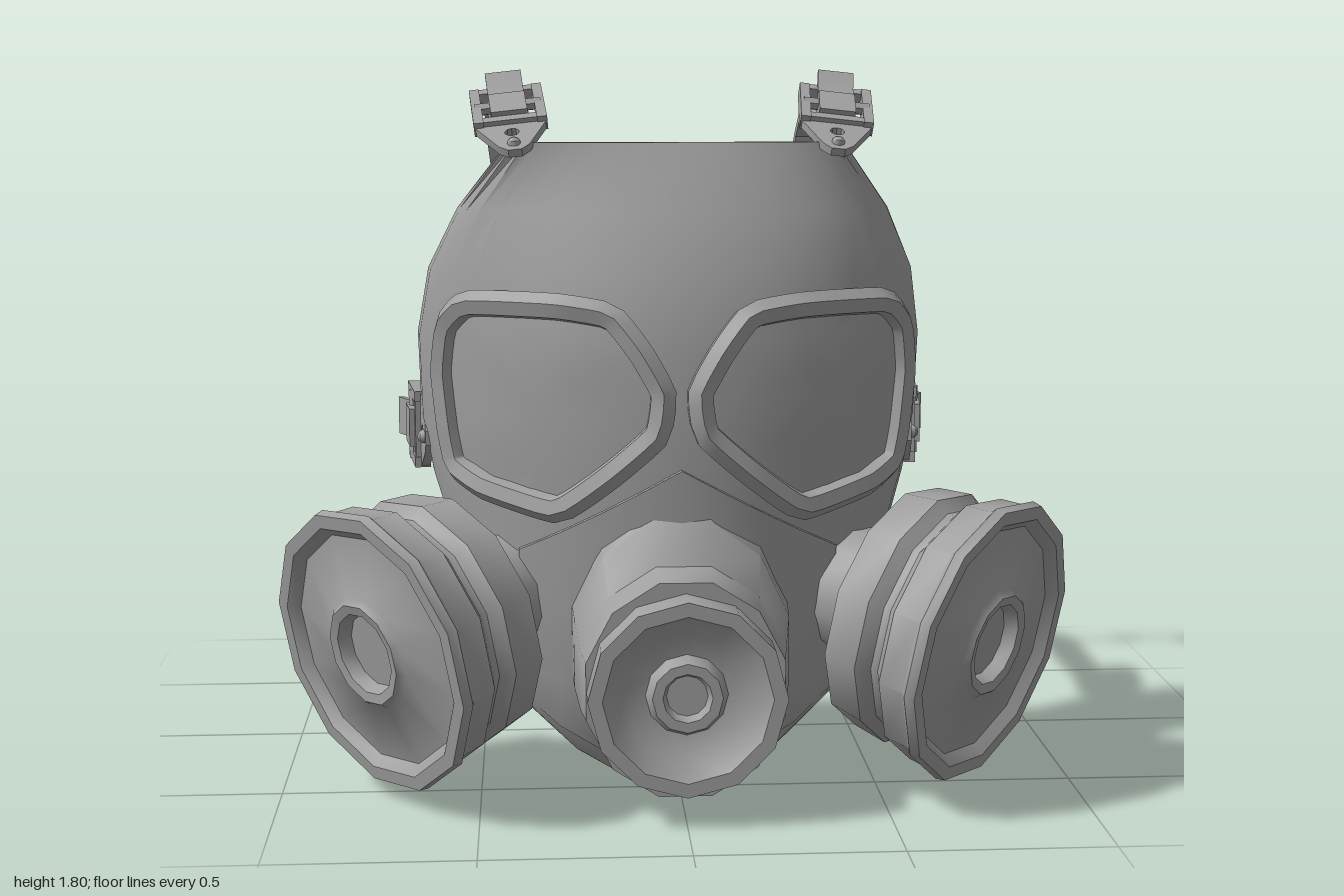
import * as THREE from 'three';
import { toCreasedNormals } from 'three/addons/utils/BufferGeometryUtils.js';

const V = (x, y, z) => new THREE.Vector3(x, y, z);
const rubber = new THREE.MeshStandardMaterial({ color: 0xa0a0a0 });
rubber.name = 'grey rubber';

// Skin through equal, even-sized rings of points, with both ends capped.
function loft(rings) {
  const n = rings[0].length, idx = [], last = (rings.length - 1) * n;
  for (let i = 0; i < rings.length - 1; i++) for (let j = 0; j < n; j++) {
    const a = i * n + j, b = i * n + (j + 1) % n;
    idx.push(a, a + n, b, b, a + n, b + n);
  }
  for (let j = 0; j < n / 2 - 1; j++) {
    const a = j, b = j + 1, c = n - 2 - j, d = n - 1 - j;
    idx.push(a, b, c, a, c, d, last + a, last + c, last + b, last + a, last + d, last + c);
  }
  const g = new THREE.BufferGeometry().setFromPoints(rings.flat());
  g.setIndex(idx);
  return g;
}

// Flat band along a path; w is half the width as a vector.
function band(path, w, t = 0.011) {
  return loft(path.map((p, i) => {
    const d = path[Math.min(i + 1, path.length - 1)].clone().sub(path[Math.max(i - 1, 0)]);
    const n = d.cross(w).normalize().multiplyScalar(t);
    return [[1, 1], [1, -1], [-1, -1], [-1, 1]].map(([a, b]) =>
      p.clone().addScaledVector(w, a).addScaledVector(n, b));
  }));
}

// Lathe whose profile [radius, distance] runs along any axis from a point.
function turned(profile, origin, axis, sides) {
  const g = new THREE.LatheGeometry(profile.map(p => new THREE.Vector2(...p)), sides);
  g.applyQuaternion(new THREE.Quaternion().setFromUnitVectors(V(0, 1, 0), axis.clone().normalize()));
  return g.translate(origin.x, origin.y, origin.z);
}

// Face piece rows: height, half width, z of the side edge, z of the centre line.
const rows = [
  [1.63, 0.42, 0.36, 0.38], [1.46, 0.55, 0.24, 0.46], [1.3, 0.63, 0.13, 0.53],
  [1.12, 0.665, 0.03, 0.565], [0.9, 0.66, 0.0, 0.575], [0.75, 0.63, 0.02, 0.575],
  [0.6, 0.58, 0.08, 0.57], [0.43, 0.52, 0.15, 0.56], [0.2, 0.41, 0.28, 0.52],
  [0.07, 0.26, 0.35, 0.45], [0.01, 0.15, 0.38, 0.4],
];
function faceZ(x, y) {
  let i = 0;
  while (i < rows.length - 2 && rows[i + 1][0] > y) i++;
  const [p, q] = [rows[i], rows[i + 1]];
  const k = THREE.MathUtils.clamp((p[0] - y) / (p[0] - q[0]), 0, 1);
  const [, w, e, c] = p.map((v, j) => v + (q[j] - v) * k);
  return e + (c - e) * Math.sqrt(Math.max(0, 1 - (x / w) ** 2));
}

export function createModel() {
  const model = new THREE.Group();
  model.name = 'respiratorMask';

  // Adds a part and, if asked, its mirror image with the corners turned round.
  function part(name, geo, mirror = false, crease = 0.7, parent = model) {
    const g = toCreasedNormals(geo, crease);
    const add = (geom, label) => {
      const m = new THREE.Mesh(geom, rubber);
      m.name = label;
      parent.add(m);
    };
    if (!mirror) return add(g, name);
    add(g, name + 'Left');
    const f = g.clone().scale(-1, 1, 1);
    for (const key of ['position', 'normal']) {
      const at = f.attributes[key], a = V(0, 0, 0), b = V(0, 0, 0);
      for (let i = 0; i < at.count; i += 3) {
        a.fromBufferAttribute(at, i + 1);
        b.fromBufferAttribute(at, i + 2);
        at.setXYZ(i + 1, b.x, b.y, b.z);
        at.setXYZ(i + 2, a.x, a.y, a.z);
      }
    }
    add(f, name + 'Right');
  }

  // Face piece, a thick curved shell
  const N = 20;
  part('facePiece', loft(rows.map(([y, w, e, c]) => {
    const ring = [];
    for (let side = 0; side < 2; side++) for (let j = 0; j <= N; j++) {
      const a = (side ? 1 - 2 * j / N : 2 * j / N - 1) * Math.PI / 2;
      const s = side ? 0.965 : 1;
      ring.push(V(w * s * Math.sin(a), y, e + (c - e) * Math.cos(a) - side * 0.022 * Math.cos(a)));
    }
    return ring;
  })));

  // Raised lower face plate, peaked at the nose
  const plate = [];
  for (let i = 0; i <= 8; i++) {
    const x = -0.4 + i * 0.1, top = 0.84 - 0.55 * Math.abs(x), bottom = 0.05 + 1.1 * x * x;
    const ring = [];
    for (let j = 0; j <= 8; j++) {
      const y = bottom + (top - bottom) * j / 8;
      ring.push(V(x, y, faceZ(x, y) + 0.018));
    }
    for (let j = 8; j >= 0; j--) ring.push(ring[j].clone().add(V(0, 0, -0.03)));
    plate.push(ring);
  }
  part('lowerFacePlate', loft(plate));

  // Eye frames outside and inside, and lenses, following the curve of the face
  const eye = [[0.045, 1.03], [0.1, 1.13], [0.17, 1.215], [0.3, 1.235], [0.52, 1.23], [0.575, 1.17],
    [0.59, 1.05], [0.575, 0.9], [0.555, 0.81], [0.48, 0.77], [0.3, 0.735], [0.17, 0.83], [0.06, 0.93]];
  for (const [name, s, dz] of [['eyeFrame', 1, 0.012], ['innerEyeFrame', 0.975, -0.035]]) {
    const curve = new THREE.CatmullRomCurve3(
      eye.map(([x, y]) => V(x * s, y, faceZ(x, y) + dz)), true, 'catmullrom', 0.2);
    part(name, new THREE.TubeGeometry(curve, 52, 0.036, 6, true), true, 0.9);
  }
  const lens = [0, 0.35, 0.7, 1].map(k => eye.map(([x, y]) => {
    const px = 0.34 + (x - 0.34) * k, py = 1.0 + (y - 1.0) * k;
    return V(px, py, faceZ(px, py) + 0.008);
  }));
  const lensIdx = [], M = eye.length;
  for (let i = 0; i < 3; i++) for (let j = 0; j < M; j++) {
    const a = i * M + j, b = i * M + (j + 1) % M;
    if (i) lensIdx.push(a, b, a + M);
    lensIdx.push(b, b + M, a + M);
  }
  const lensGeo = new THREE.BufferGeometry().setFromPoints(lens.flat());
  lensGeo.setIndex(lensIdx);
  part('lens', lensGeo, true);

  // Central outlet: housing seated on the face, dished cap and the valve on the inside
  part('outletHousing', loft([[0, 0.4, 0.28, 0.36], [0.59, 0.385, 0.275, 0.34],
    [0.65, 0.335, 0.262, 0.29], [0.74, 0.33, 0.25, 0.275]].map(([z, cy, rx, ry]) =>
    Array.from({ length: 12 }, (_, j) => {
      const a = (j + 0.5) * Math.PI / 6, x = rx * Math.cos(a), y = cy - ry * Math.sin(a);
      return V(x, y, z || faceZ(x, y) - 0.004);
    }))));
  part('outletCap', turned([[0.24, 0], [0.24, 0.13], [0.205, 0.13], [0.15, 0.085], [0.1, 0.075],
    [0.085, 0.11], [0.06, 0.11], [0.05, 0.085], [0, 0.085]], V(0, 0.33, 0.7), V(0, 0, 1), 12));
  part('innerValve', turned([[0.21, -0.05], [0.21, 0.03], [0.17, 0.06], [0.135, 0.01], [0.09, 0.01],
    [0.075, 0.06], [0.045, 0.06], [0.04, 0.03], [0, 0.03]], V(0, 0.36, 0.51), V(0, 0.25, -1), 12));

  // Filter canisters with inner port, neck, groove, rim and hub
  part('filter', turned([[0, -0.12], [0.125, -0.12], [0.135, -0.165], [0.165, -0.165], [0.17, 0],
    [0.26, 0], [0.32, 0.025], [0.332, 0.12], [0.305, 0.15], [0.305, 0.17], [0.345, 0.2], [0.35, 0.27],
    [0.365, 0.285], [0.36, 0.31], [0.325, 0.31], [0.3, 0.285], [0.145, 0.31], [0.13, 0.325],
    [0.105, 0.32], [0.095, 0.285], [0, 0.285]], V(0.54, 0.46, 0.425), V(0.745, -0.18, 0.645), 12), true);

  // Buckles: pierced tab, open frame, roller, folded strap and rivets
  const bar = (x, y, z, w, h, d) => new THREE.BoxGeometry(w, h, d).translate(x, y, z);
  function buckle(name, origin, u, n, size) {
    const group = new THREE.Group();
    group.name = name;
    model.add(group);
    u.normalize();
    const v = n.clone().cross(u).normalize(), out = u.clone().cross(v);
    const place = new THREE.Matrix4().makeBasis(u, v, out).setPosition(origin)
      .multiply(new THREE.Matrix4().makeScale(size, size, size));
    const tab = new THREE.Shape([[0, -0.045], [0.13, -0.105], [0.17, -0.105], [0.17, 0.105],
      [0.13, 0.105], [0, 0.045], [-0.025, 0.02], [-0.025, -0.02]].map(p => new THREE.Vector2(...p)));
    tab.holes.push(new THREE.Path().absarc(0.085, 0, 0.022, 0, Math.PI * 2, true));
    const piece = (label, g) => part(label, g.applyMatrix4(place), true, 0.6, group);
    piece('tab', new THREE.ExtrudeGeometry(tab, { depth: 0.025, bevelEnabled: false, curveSegments: 5 }));
    for (const s of [-1, 1]) piece('frameRail', bar(0.24, s * 0.095, 0.02, 0.22, 0.03, 0.045));
    for (const x of [0.15, 0.335]) piece('frameBar', bar(x, 0, 0.02, 0.03, 0.2, 0.04));
    piece('roller', new THREE.CylinderGeometry(0.02, 0.02, 0.2, 6).translate(0.24, 0, 0.03));
    piece('strapFold', bar(0.225, 0, 0.025, 0.12, 0.11, 0.06));
    piece('strapTail', band([V(0.24, 0, 0.035), V(0.34, 0, 0.035), V(0.405, 0, 0.06)], V(0, 0.055, 0), 0.008));
    piece('rivet', new THREE.SphereGeometry(0.02, 8, 6).translate(0.015, 0, 0.025));
  }
  buckle('sideBuckle', V(0.625, 0.845, 0.09), V(0.13, 0, -0.98), V(0.98, 0, 0.13), 0.94);
  buckle('topBuckle', V(0.4, 1.605, 0.385), V(0.08, 0.42, -0.88), V(0.08, 0.88, 0.42), 0.84);

  // Head straps
  part('sideStrap', band([V(0.655, 0.845, -0.12), V(0.635, 0.84, -0.3), V(0.66, 0.81, -0.61),
    V(0.57, 0.81, -0.76), V(0.06, 0.785, -0.89)], V(0, 0.056, 0)), true, 0.3);
  part('topStrap', band([V(0.4, 1.645, 0.24), V(0.44, 1.735, -0.23), V(0.435, 1.62, -0.39),
    V(0.37, 1.11, -0.52)], V(0.05, 0, 0), 0.014), true, 0.3);

  return model;
}
